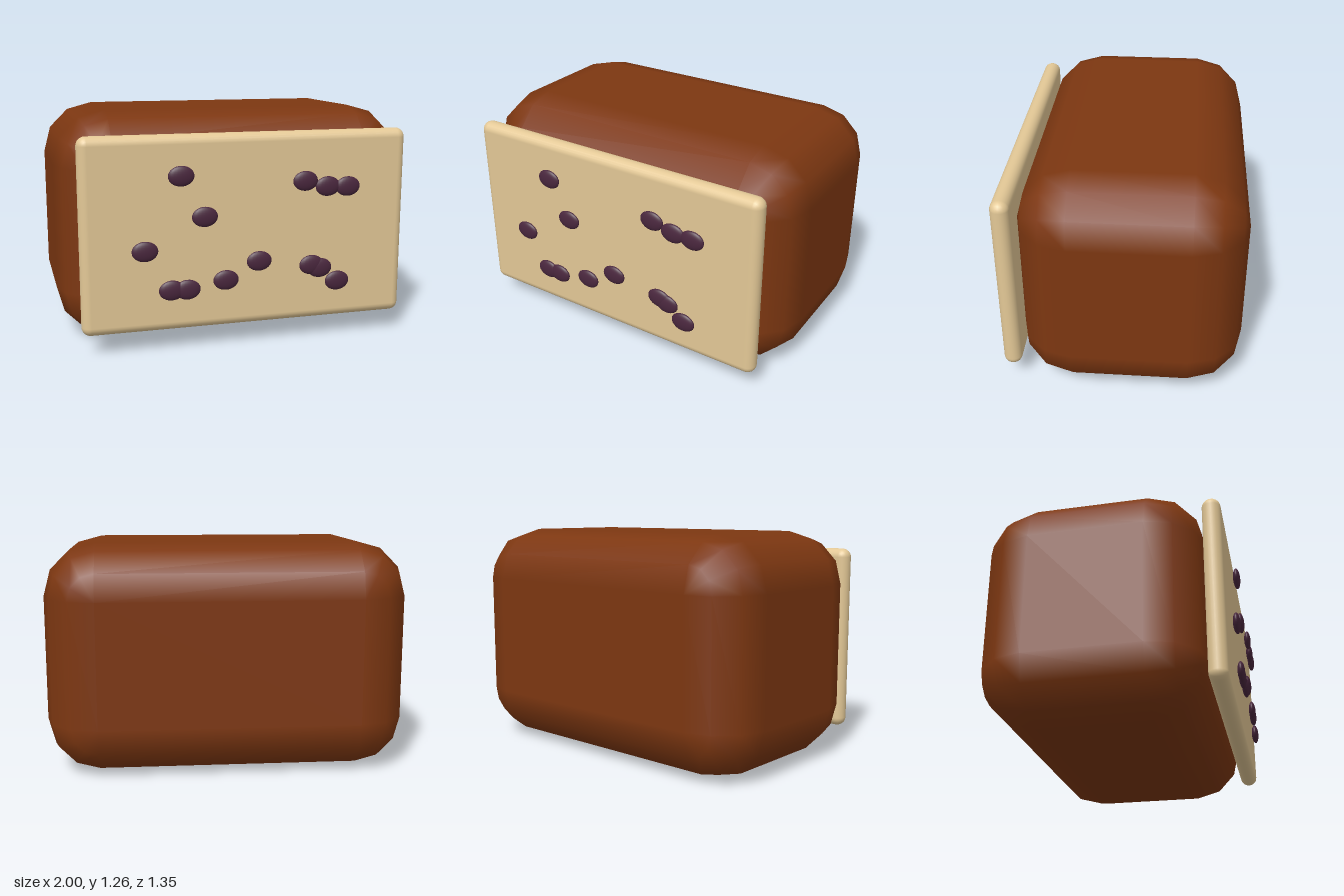
import * as THREE from 'three';

// Box with rounded edges: rounded-rectangle rings stacked along z, `seg` steps per quarter turn
function roundedBox(w, h, d, r, seg) {
  const pos = [], nor = [], idx = [];
  const n = 4 * (seg + 1);
  const cx = w / 2 - r, cy = h / 2 - r, cz = d / 2 - r;
  for (let i = 0; i < 2 * (seg + 1); i++) {
    const front = i > seg;
    const lat = ((front ? i - 1 : i) / seg - 1) * Math.PI / 2;
    for (let c = 0; c < 4; c++) {
      const sx = c === 0 || c === 3 ? 1 : -1, sy = c < 2 ? 1 : -1;
      for (let k = 0; k <= seg; k++) {
        const a = (c + k / seg) * Math.PI / 2;
        const nx = Math.cos(a) * Math.cos(lat), ny = Math.sin(a) * Math.cos(lat), nz = Math.sin(lat);
        pos.push(sx * cx + r * nx, sy * cy + r * ny, (front ? cz : -cz) + r * nz);
        nor.push(nx, ny, nz);
      }
    }
  }
  const rings = 2 * (seg + 1);
  for (let i = 0; i < rings - 1; i++) {
    for (let j = 0; j < n; j++) {
      const a = i * n + j, b = i * n + (j + 1) % n;
      idx.push(a, b, b + n, a, b + n, a + n);
    }
  }
  // flat back and front faces between the four corner points
  const s = seg + 1, t = (rings - 1) * n;
  idx.push(0, 2 * s, s, 0, 3 * s, 2 * s);
  idx.push(t, t + s, t + 2 * s, t, t + 2 * s, t + 3 * s);
  const geo = new THREE.BufferGeometry();
  geo.setAttribute('position', new THREE.Float32BufferAttribute(pos, 3));
  geo.setAttribute('normal', new THREE.Float32BufferAttribute(nor, 3));
  geo.setIndex(idx);
  return geo;
}

function material(name, color) {
  const m = new THREE.MeshStandardMaterial({ color });
  m.name = name;
  return m;
}

export function createModel() {
  const model = new THREE.Group();
  model.name = 'raisinLoaf';
  const crust = material('crustBrown', 0x7d3711);
  const crumb = material('crumbCream', 0xe3c896);
  const raisin = material('raisinPurple', 0x4a273e);

  const add = (name, geo, mat, x, y, z) => {
    const mesh = new THREE.Mesh(geo, mat);
    mesh.name = name;
    mesh.position.set(x, y, z);
    model.add(mesh);
  };

  // loaf body and the cut face in front of it
  add('loaf', roundedBox(2, 1.265, 1.2, 0.29, 3), crust, 0, 0.6325, -0.075);
  add('cutFace', roundedBox(1.81, 1.05, 0.1, 0.049, 6), crumb, 0, 0.635, 0.575);

  // raisins: flattened spheres scattered over the cut face
  const raisinGeo = new THREE.SphereGeometry(1, 20, 14).scale(0.07, 0.054, 0.02);
  const spots = [
    [-0.38, 0.95], [-0.255, 0.73], [-0.575, 0.563], [-0.435, 0.345], [-0.35, 0.343],
    [-0.14, 0.38], [0.045, 0.472], [0.345, 0.43], [0.393, 0.41], [0.497, 0.33],
    [0.302, 0.896], [0.43, 0.862], [0.547, 0.857],
  ];
  spots.forEach(([x, y], i) => add(`raisin${i + 1}`, raisinGeo, raisin, x, y, 0.655));
  return model;
}
